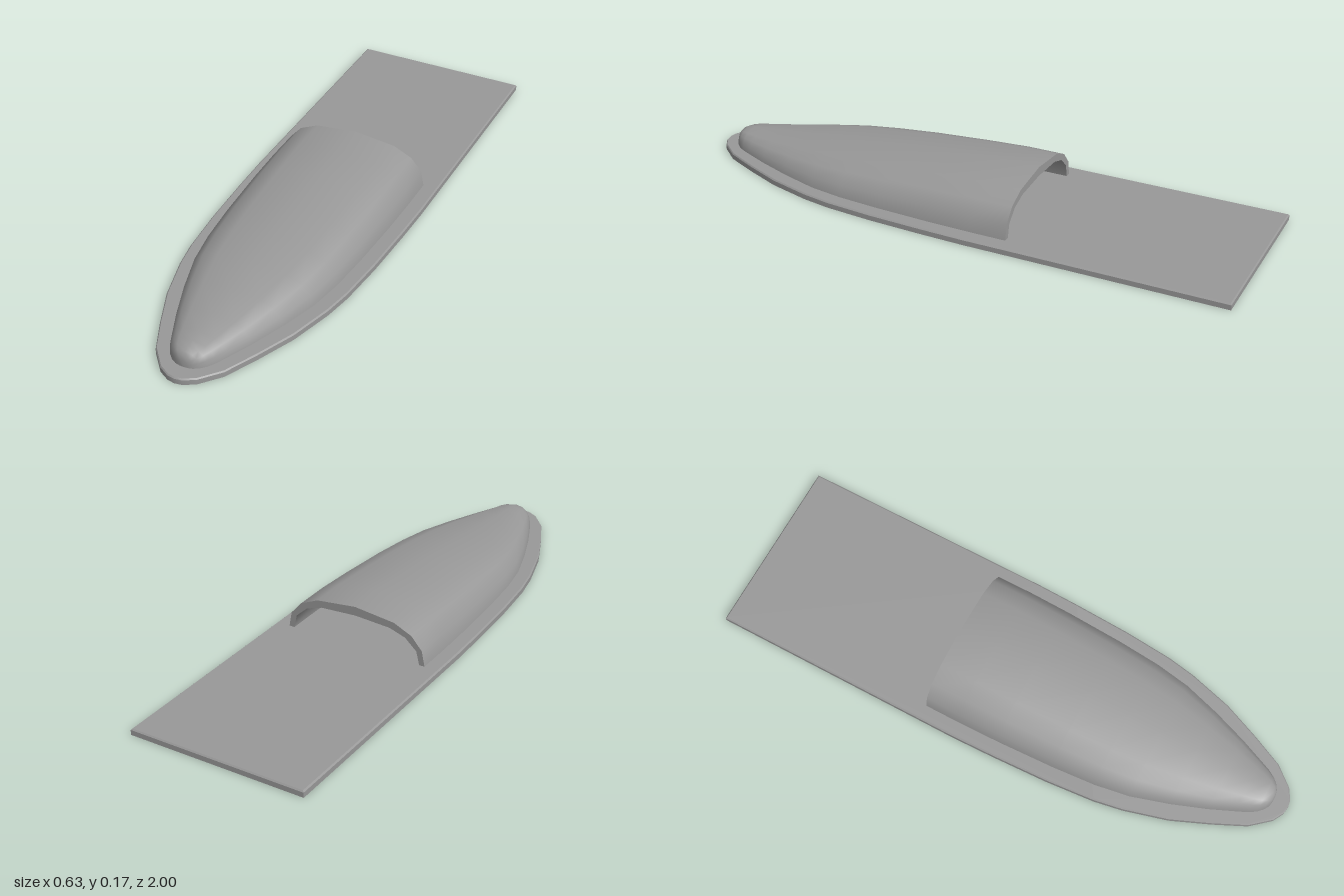
import * as THREE from 'three';
import { toCreasedNormals } from 'three/addons/utils/BufferGeometryUtils.js';

const SOLE = 0.022;

// Surface through rows of points, all rows equally long
function loft(rows) {
  const n = rows[0].length, index = [];
  for (let i = 0; i < rows.length - 1; i++) {
    for (let j = 0; j < n - 1; j++) {
      const a = i * n + j, b = a + 1, c = a + n, d = c + 1;
      index.push(a, b, c, b, d, c);
    }
  }
  const g = new THREE.BufferGeometry();
  g.setAttribute('position', new THREE.Float32BufferAttribute(rows.flat(2), 3));
  g.setIndex(index);
  g.computeVertexNormals();
  return g;
}

// Mirrored arch from a half section given as fractions of width and height
function arch(half, z, w, h) {
  const right = half.slice(0, -1).reverse().map(([x, y]) => [-x, y]);
  return [...half, ...right].map(([x, y]) => [x * w, SOLE + y * h, z]);
}

function soleGeometry() {
  // Half outline: x, z from heel to toe
  const half = [[0.313, -1], [0.313, -0.1], [0.309, 0.05], [0.3, 0.25], [0.285, 0.42], [0.267, 0.52],
    [0.225, 0.67], [0.17, 0.8], [0.118, 0.91], [0.062, 0.975], [0.025, 0.996], [0, 1]];
  const outline = [...half, ...half.slice(0, -1).reverse().map(([x, z]) => [-x, z])];
  const shape = new THREE.Shape(outline.map(([x, z]) => new THREE.Vector2(x, -z)));
  const g = new THREE.ExtrudeGeometry(shape, { depth: SOLE, steps: 2, bevelEnabled: false });
  g.rotateX(-Math.PI / 2);
  // Soften the upper edge
  const p = g.attributes.position;
  for (let i = 0; i < p.count; i++) {
    const y = p.getY(i);
    if (y > SOLE * 0.9) p.setXYZ(i, p.getX(i) * 0.985, y, p.getZ(i) * 0.996);
    else if (y > SOLE * 0.3) p.setY(i, SOLE * 0.8);
  }
  return toCreasedNormals(g, 0.6);
}

export function createModel() {
  const group = new THREE.Group();
  const grey = new THREE.MeshStandardMaterial({ color: 0x999999 });
  grey.name = 'grey';
  const add = (name, geometry) => {
    const mesh = new THREE.Mesh(geometry, grey);
    mesh.name = name;
    group.add(mesh);
  };

  add('sole', soleGeometry());

  // Stations of the upper: z, half width, height above the sole
  const stations = [[-0.23, 0.262, 0.145], [-0.1, 0.262, 0.145], [0.05, 0.259, 0.136], [0.25, 0.25, 0.122],
    [0.4, 0.238, 0.108], [0.52, 0.218, 0.097], [0.65, 0.178, 0.083], [0.77, 0.133, 0.07],
    [0.85, 0.098, 0.063], [0.89, 0.08, 0.06], [0.915, 0.064, 0.056], [0.932, 0.047, 0.049],
    [0.942, 0.03, 0.038], [0.946, 0.015, 0.022], [0.947, 0, 0]];
  const outerHalf = [[1, 0], [0.96, 0.37], [0.81, 0.68], [0.56, 0.885], [0, 1]];
  const innerHalf = [[1, 0], [0.955, 0.42], [0.78, 0.76], [0.54, 0.93], [0, 1]];

  const outer = stations.map(([z, w, h]) => arch(outerHalf, z, w, h));
  const inner = stations.map(([z, w, h], i) =>
    arch(innerHalf, i ? z - 0.02 * Math.max(0, z) : z, Math.max(0, w - 0.02), h * 0.78));

  add('upperOutside', loft(outer));
  add('upperLining', loft(inner.map((row) => [...row].reverse())));
  add('openingRim', loft([inner[0], outer[0]]));
  return group;
}
